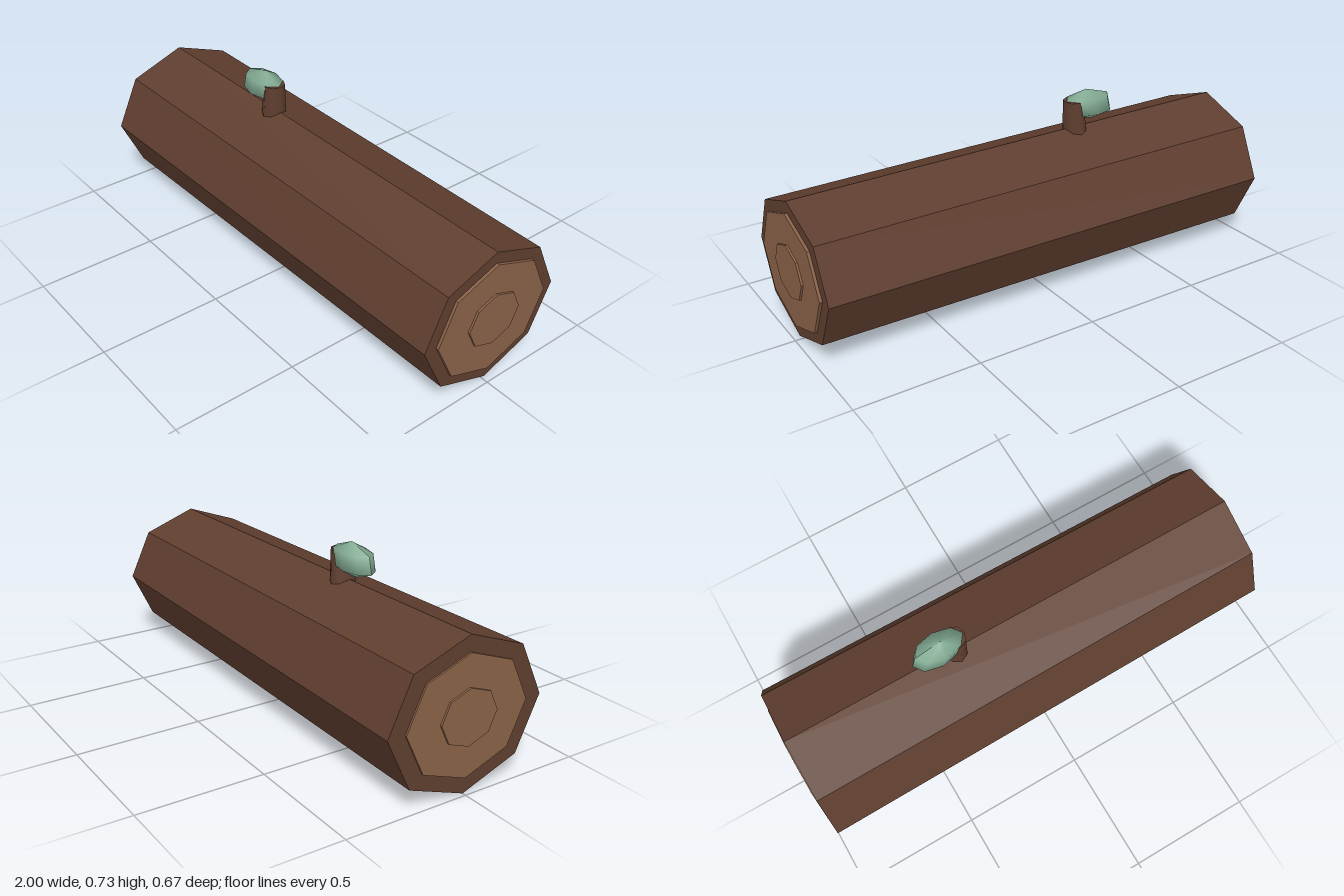
import * as THREE from 'three';

const mat = (name, color, flatShading = false) => {
  const m = new THREE.MeshStandardMaterial({ color, flatShading });
  m.name = name;
  return m;
};

export function createModel() {
  const group = new THREE.Group();
  const bark = mat('bark', 0x5f3e2f);
  const wood = mat('cutWood', 0x8a6248);
  const leafGreen = mat('leafGreen', 0x82ab93);
  const axisY = 0.295;

  const add = (name, geometry, material, x, y) => {
    const mesh = new THREE.Mesh(geometry, material);
    mesh.name = name;
    mesh.position.set(x, y, 0);
    group.add(mesh);
    return mesh;
  };

  // Eight-sided prism lying along x, slightly squashed in height
  const prism = (rRight, rLeft, length) => {
    const g = new THREE.CylinderGeometry(rRight, rLeft, length, 8).toNonIndexed();
    g.scale(0.88, 1, 1).rotateZ(-Math.PI / 2);
    g.computeVertexNormals();
    return g;
  };

  // Tapered log
  add('log', prism(0.315, 0.333, 1.966), bark, -0.002, axisY);

  // Stepped growth rings on both cut ends
  for (const [side, label] of [[1, 'left'], [-1, 'right']]) {
    add(label + 'OuterRing', prism(0.262, 0.262, 0.03), wood, side * 0.977, axisY);
    add(label + 'InnerRing', prism(0.122, 0.122, 0.03), wood, side * 0.985, axisY);
  }

  // Branch stub, leaning slightly
  const stub = new THREE.CylinderGeometry(0.045, 0.055, 0.16, 8);
  stub.scale(0.87, 1, 1).rotateZ(-0.06);
  add('branchStub', stub, bark, -0.259, 0.618);

  // Faceted leaf bud, sheared towards the stub
  const leaf = new THREE.SphereGeometry(1, 8, 3);
  leaf.scale(0.117, 0.066, 0.066);
  const p = leaf.attributes.position;
  for (let i = 0; i < p.count; i++) p.setX(i, p.getX(i) + 0.25 * p.getY(i));
  leaf.computeVertexNormals();
  add('leaf', leaf, leafGreen, -0.332, 0.668);

  return group;
}
